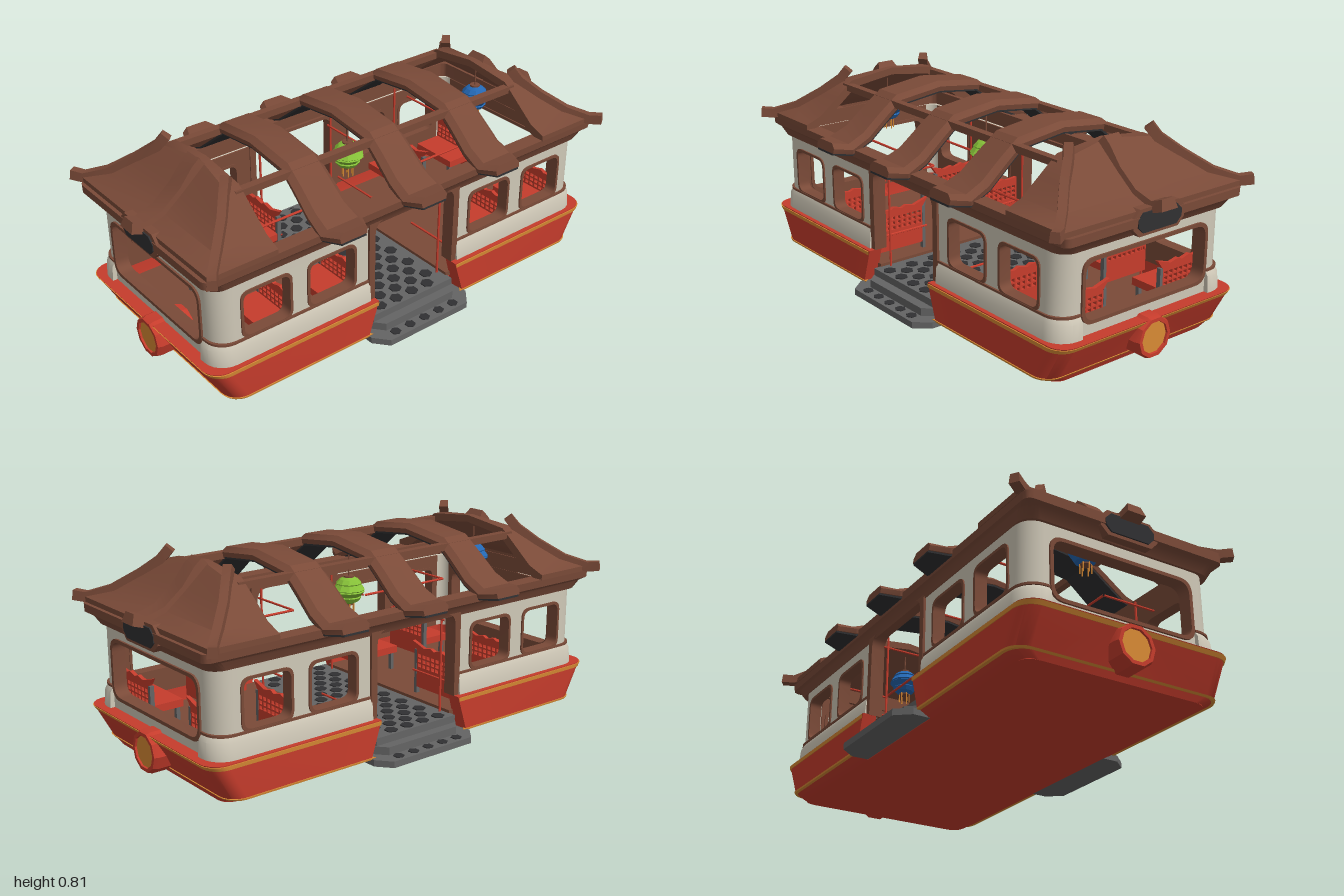
import * as THREE from 'three';
import { mergeGeometries, toCreasedNormals } from 'three/addons/utils/BufferGeometryUtils.js';

const V = (x, y, z) => new THREE.Vector3(x, y, z);
const mat = (name, color) => new THREE.MeshStandardMaterial({ name, color });

// Positions only, optionally mirrored in x and z with the winding kept outward
function part(geo, sx = 1, sz = 1) {
  const src = geo.index ? geo.toNonIndexed() : geo;
  const p = src.attributes.position.clone();
  for (let i = 0; i < p.count; i++) {
    const j = sx * sz < 0 ? i - (i % 3) + [0, 2, 1][i % 3] : i;
    const s = src.attributes.position;
    p.setXYZ(i, s.getX(j) * sx, s.getY(j), s.getZ(j) * sz);
  }
  return new THREE.BufferGeometry().setAttribute('position', p);
}
const twoX = (g) => [part(g), part(g, -1, 1)];
const twoZ = (g) => [part(g), part(g, 1, -1)];
const four = (g) => [...twoX(g), part(g, 1, -1), part(g, -1, -1)];

// Solid skin over a grid: rows run round a closed profile, columns run along the path
function skin(grid) {
  const K = grid.length, N = grid[0].length, pos = [];
  const quad = (a, b, c, d) => [a, b, c, a, c, d].forEach((v) => pos.push(v.x, v.y, v.z));
  for (let k = 0; k < K; k++) {
    const n = (k + 1) % K;
    for (let i = 0; i < N - 1; i++) quad(grid[k][i], grid[k][i + 1], grid[n][i + 1], grid[n][i]);
  }
  for (let k = 0; k < K / 2 - 1; k++) {
    const c = [k, k + 1, K - 2 - k, K - 1 - k];
    quad(...c.map((j) => grid[j][0]));
    quad(...c.reverse().map((j) => grid[j][N - 1]));
  }
  return new THREE.BufferGeometry().setAttribute('position', new THREE.Float32BufferAttribute(pos, 3));
}

// Quarter of a wall ring: rows are [y, xStart, xEnd, z, cornerRadius]
function band(rows, zEnd = 0) {
  return skin(rows.map(([y, x0, x1, z, r]) => {
    const line = [V(x0, y, z)];
    for (let i = 0; i <= 6; i++) {
      const a = (i / 6) * Math.PI / 2;
      line.push(V(x1 - r + r * Math.sin(a), y, z - r + r * Math.cos(a)));
    }
    return [...line, V(x1, y, zEnd)];
  }));
}

// Section of [side, up] points swept along a path
function sweep(path, section, scale = []) {
  const frames = path.map((p, i) => {
    const t = path[Math.min(i + 1, path.length - 1)].clone().sub(path[Math.max(i - 1, 0)]).normalize();
    const s = t.clone().cross(V(0, 1, 0)).normalize();
    return { p, s, u: s.clone().cross(t), w: scale[i] ?? 1 };
  });
  return skin(section.map(([a, b]) => frames.map(({ p, s, u, w }) =>
    p.clone().addScaledVector(s, a * w).addScaledVector(u, b))));
}

function roundRect(x0, y0, x1, y1, r, Type = THREE.Path) {
  const p = new Type();
  p.moveTo(x0 + r, y0).lineTo(x1 - r, y0).quadraticCurveTo(x1, y0, x1, y0 + r);
  p.lineTo(x1, y1 - r).quadraticCurveTo(x1, y1, x1 - r, y1).lineTo(x0 + r, y1);
  p.quadraticCurveTo(x0, y1, x0, y1 - r).lineTo(x0, y0 + r).quadraticCurveTo(x0, y0, x0 + r, y0);
  return p;
}
const poly = (pts) => new THREE.Shape(pts.map(([x, y]) => new THREE.Vector2(x, y)));
const extrude = (shape, from, to) => new THREE.ExtrudeGeometry(shape,
  { depth: to - from, bevelEnabled: false, curveSegments: 6 }).translate(0, 0, from);
const box = (w, h, d, x, y, z) => new THREE.BoxGeometry(w, h, d).translate(x, y, z);
const rod = (a, b, r) => new THREE.TubeGeometry(new THREE.LineCurve3(a, b), 1, r, 6);
const octagon = (w, y0, y1, c) => poly([[-w + c, y0], [w - c, y0], [w, y0 + c], [w, y1 - c],
  [w - c, y1], [-w + c, y1], [-w, y1 - c], [-w, y0 + c]]);

export function createModel() {
  const model = new THREE.Group();
  model.name = 'pagodaTram';
  const brown = mat('brown wood', 0x7a4a38), red = mat('red paint', 0xc63c2c), cream = mat('cream wall', 0xcfc8b7);
  const orange = mat('amber trim', 0xd88a34), grey = mat('step grey', 0x646464), black = mat('charcoal', 0x303032);
  const blue = mat('blue paper', 0x2468b4), green = mat('green paper', 0x86c038);
  const add = (name, geos, material, crease = 0.6) => {
    const m = new THREE.Mesh(toCreasedNormals(mergeGeometries(geos.map((g) => part(g))), crease), material);
    m.name = name;
    model.add(m);
  };

  // Hull with chamfered foot, trim lines and end lamps
  add('hull', four(band([[0, 0.25, 0.87, 0.39, 0.06], [0.03, 0.245, 0.885, 0.443, 0.07], [0.172, 0.2, 0.962, 0.443, 0.07],
    [0.172, 0.2, 0.88, 0.385, 0.04], [0.1, 0.22, 0.88, 0.385, 0.04], [0, 0.25, 0.85, 0.37, 0.04]])), red);
  add('hullTrim', [[0.153, 0.954, 0.168, 0.963], [0.024, 0.884, 0.031, 0.89]].flatMap(([y0, a, y1, b]) =>
    four(band([[y0, 0.235 - y0 * 0.2, a, 0.446, 0.07], [y1, 0.235 - y1 * 0.2, b, 0.447, 0.07],
      [y1, 0.25, b - 0.03, 0.42, 0.05], [y0, 0.25, a - 0.03, 0.42, 0.05]]))), orange);
  add('hullBottom', [extrude(roundRect(-0.87, -0.39, 0.87, 0.39, 0.06, THREE.Shape), 0, 0.02).rotateX(-Math.PI / 2)], red);
  const lamp = new THREE.LatheGeometry([[0.07, 0.8], [0.085, 0.84], [0.085, 0.952], [0.078, 0.97], [0.064, 0.97], [0.062, 0.958]]
    .map(([r, y]) => new THREE.Vector2(r, y)), 10).rotateZ(-Math.PI / 2).translate(0, 0.1, 0);
  add('endLampRims', twoX(lamp), red, 0.4);
  add('endLampLenses', twoX(new THREE.CircleGeometry(0.066, 10).rotateY(Math.PI / 2).translate(0.962, 0.1, 0)), orange);

  // Floors and entry steps
  add('cabinFloor', twoX(box(0.68, 0.02, 0.78, 0.54, 0.092, 0)), brown);
  add('doorFloor', [box(0.41, 0.07, 0.84, 0, 0.055, 0)], grey);
  const step = (x, z, y0, y1) => extrude(poly([[-x, -0.36], [x, -0.36], [x, -z + 0.06], [x - 0.05, -z],
    [0.05 - x, -z], [-x, 0.06 - z]].reverse().map(([a, b]) => [a, b])), y0, y1).rotateX(-Math.PI / 2);
  add('steps', [...twoZ(step(0.25, 0.52, 0.002, 0.028)), ...twoZ(step(0.225, 0.46, 0.028, 0.06))], grey);
  const hexes = [];
  for (let r = -7; r <= 7; r++)
    for (let c = -2; c <= 2; c++) {
      const x = c * 0.082 + (r % 2 ? 0.02 : -0.02);
      if (Math.abs(x) < 0.18) hexes.push(new THREE.CylinderGeometry(0.027, 0.027, 0.005, 6).translate(x, 0.0915, r * 0.055));
    }
  for (let c = -2; c <= 2; c++)
    hexes.push(...twoZ(new THREE.CylinderGeometry(0.022, 0.022, 0.005, 6).translate(c * 0.075, 0.029, 0.487)));
  add('floorHexagons', hexes, black, 0.3);

  // Walls with window openings, and their brown lining
  const wins = [[0.29, 0.512], [0.588, 0.805]];
  const side = poly([[0.21, 0.17], [0.83, 0.17], [0.83, 0.51], [0.21, 0.51]]);
  wins.forEach(([a, b]) => side.holes.push(roundRect(a + 0.005, 0.265, b - 0.005, 0.45, 0.035)));
  const end = poly([[-0.327, 0.17], [0.327, 0.17], [0.327, 0.51], [-0.327, 0.51]]);
  end.holes.push(roundRect(-0.305, 0.22, 0.305, 0.452, 0.045));
  const endwise = (shape, a, b) => extrude(shape, a, b).rotateY(Math.PI / 2);
  const post = band([[0.17, 0.83, 0.91, 0.407, 0.08], [0.51, 0.83, 0.91, 0.407, 0.08],
    [0.51, 0.83, 0.873, 0.37, 0.043], [0.17, 0.83, 0.873, 0.37, 0.043]], 0.327);
  add('walls', [...four(extrude(side, 0.372, 0.407)), ...twoX(endwise(end, 0.875, 0.91)), ...four(post)], cream);
  add('wallLining', [...four(extrude(side, 0.365, 0.372)), ...twoX(endwise(end, 0.868, 0.875))], brown);
  add('lowerWallBand', four(band([[0.17, 0.225, 0.93, 0.425, 0.085], [0.235, 0.225, 0.926, 0.42, 0.085], [0.256, 0.225, 0.912, 0.41, 0.08],
    [0.256, 0.225, 0.89, 0.39, 0.06], [0.235, 0.225, 0.89, 0.39, 0.06], [0.17, 0.225, 0.89, 0.39, 0.06]], 0.315)), cream);
  add('wallTrim', four(band([[0.254, 0.225, 0.918, 0.415, 0.08], [0.263, 0.225, 0.918, 0.415, 0.08],
    [0.263, 0.225, 0.89, 0.39, 0.06], [0.254, 0.225, 0.89, 0.39, 0.06]], 0.315)), brown);

  // Window and door frames
  const frame = (x0, y0, x1, y1, r, t) => {
    const s = roundRect(x0, y0, x1, y1, r, THREE.Shape);
    s.holes.push(roundRect(x0 + t, y0 + t, x1 - t, y1 - t, r - t * 0.5));
    return s;
  };
  add('sideWindowFrames', wins.flatMap(([a, b]) => four(extrude(frame(a - 0.004, 0.256, b + 0.004, 0.459, 0.04, 0.011), 0.362, 0.413))), brown);
  add('endWindowFrames', twoX(endwise(frame(-0.312, 0.212, 0.312, 0.46, 0.055, 0.014), 0.862, 0.918)), brown);
  const door = new THREE.Shape();
  door.moveTo(0.228, 0.17).lineTo(0.228, 0.53).lineTo(-0.228, 0.53).lineTo(-0.228, 0.17).lineTo(-0.2, 0.17).lineTo(-0.2, 0.46);
  door.quadraticCurveTo(-0.2, 0.515, -0.145, 0.515).lineTo(0.145, 0.515).quadraticCurveTo(0.2, 0.515, 0.2, 0.46).lineTo(0.2, 0.17);
  add('doorFrames', twoZ(extrude(door, 0.36, 0.417)), brown);

  // Beam ring under the roof
  add('roofBeam', four(band([[0.5, 0, 0.925, 0.412, 0.06], [0.535, 0, 0.945, 0.425, 0.05], [0.545, 0, 0.965, 0.435, 0.03],
    [0.577, 0, 0.965, 0.438, 0.03], [0.577, 0, 0.865, 0.372, 0.03], [0.56, 0, 0.865, 0.372, 0.03],
    [0.53, 0, 0.865, 0.372, 0.03], [0.515, 0, 0.865, 0.372, 0.03]])), brown);

  // Hipped roof ends with flared ribs
  const slope = [[0.95, 0.575, 0.44], [0.95, 0.597, 0.44], [0.87, 0.625, 0.37], [0.79, 0.69, 0.29], [0.72, 0.755, 0.21], [0.69, 0.78, 0]];
  const inner = slope.map(([x, y, z], i) => i ? [x - 0.02, y - 0.03, Math.max(z - 0.02, 0)] : [0.9, 0.57, 0.4]).reverse();
  add('roofEnds', four(skin([...slope, ...inner].map(([x, y, z]) => [V(0.66, y, z), V(x, y, z), V(x, y, 0)]))), brown);
  const hip = [[0.965, 0.605, 0.485], [0.935, 0.6, 0.44], [0.87, 0.63, 0.37], [0.79, 0.695, 0.29], [0.735, 0.755, 0.225], [0.708, 0.8, 0.2]];
  const hipRib = sweep(hip.map((p) => V(...p)), [[0.02, -0.025], [0.016, 0.014], [-0.016, 0.014], [-0.02, -0.025]]);
  add('hipRibs', four(hipRib), brown);
  const mid = [[1, 0.625], [0.95, 0.608], [0.87, 0.632], [0.79, 0.697], [0.735, 0.765], [0.705, 0.79]];
  const midRib = sweep(mid.map(([x, y]) => V(x, y, 0)), [[0.05, -0.03], [0.036, 0.012], [-0.036, 0.012], [-0.05, -0.03]], [0.8, 0.9, 0.95, 1, 1, 1]);
  add('endCentreRibs', twoX(midRib), brown);

  // Curved rafters with dark undersides, joined by long rails
  const arch = [[0.515, 0.597], [0.45, 0.588], [0.37, 0.622], [0.285, 0.69], [0.205, 0.75], [0, 0.775]];
  const path = [...arch, ...arch.slice(0, 5).map(([z, y]) => [-z, y]).reverse()];
  const flare = [0.7, 1.08, 1, 0.95, 0.92, 0.92, 0.92, 0.95, 1, 1.08, 0.7];
  const rafter = (x, section) => sweep(path.map(([z, y]) => V(x, y, z)), section, flare);
  const bays = [-0.385, 0, 0.385];
  add('rafters', bays.map((x) => rafter(x, [[0.085, -0.028], [0.09, -0.008], [0.065, 0.012], [-0.065, 0.012], [-0.09, -0.008], [-0.085, -0.028]])), brown, 0.4);
  add('rafterUndersides', bays.map((x) => rafter(x, [[0.08, -0.036], [0.08, -0.0275], [-0.08, -0.0275], [-0.08, -0.036]])), black, 0.4);
  add('roofRails', twoZ(box(1.38, 0.028, 0.032, 0, 0.728, 0.22)), brown);

  // Blank end signs
  add('signFrames', twoX(endwise(octagon(0.125, 0.505, 0.605, 0.03), 0.87, 0.962)), brown);
  add('signPanels', twoX(endwise(octagon(0.106, 0.518, 0.592, 0.024), 0.962, 0.968)), black);

  // Benches with lattice backs
  const lattice = poly([[0.15, 0.13], [0.365, 0.13], [0.365, 0.285], [0.15, 0.285]]);
  for (let r = 0; r < 3; r++)
    for (let c = 0; c < 8; c++) {
      const x = 0.157 + c * 0.026, y = 0.218 + r * 0.021;
      lattice.holes.push(poly([[x, y], [x + 0.018, y], [x + 0.018, y + 0.014], [x, y + 0.014]]));
    }
  const crest = poly([[0.15, 0.285], [0.365, 0.285], [0.365, 0.31], [0.31, 0.305], [0.29, 0.314], [0.25, 0.303],
    [0.23, 0.312], [0.19, 0.303], [0.122, 0.324], [0.14, 0.3]]);
  const backs = [-0.55, -0.25, 0.55, 0.845];
  add('benchBacks', backs.flatMap((x) => [lattice, crest].flatMap((s) => twoZ(extrude(s, x - 0.008, x + 0.008)
    .translate(0, 0, -x).rotateY(-Math.PI / 2).translate(x, 0, 0)))), red);
  add('benchSeats', backs.flatMap((x) => twoZ(box(0.13, 0.03, 0.225, x - 0.07, 0.195, 0.25))), red);
  add('benchPosts', backs.flatMap((x) => [...twoZ(box(0.018, 0.19, 0.014, x, 0.195, 0.143)),
    ...twoZ(box(0.016, 0.09, 0.016, x - 0.12, 0.14, 0.16))]), grey);

  // Grab poles and overhead rails
  add('grabPoles', [rod(V(0.187, 0.09, 0.35), V(0.187, 0.52, 0.35), 0.005), rod(V(0.55, 0.1, 0.35), V(0.55, 0.55, 0.35), 0.005),
    rod(V(0.187, 0.475, 0.125), V(0.64, 0.475, 0.125), 0.005), rod(V(0.187, 0.475, 0.125), V(0.187, 0.475, 0.37), 0.005),
    rod(V(0.64, 0.475, 0.125), V(0.64, 0.475, 0.37), 0.005), rod(V(0.24, 0.2, 0.13), V(0.24, 0.2, 0.37), 0.005)].flatMap(four), red);

  // Hanging paper lanterns with tassels
  const lantern = (name, x, y, paper) => {
    const pts = [[0.02, -0.055], [0.04, -0.045], [0.052, -0.028], [0.048, -0.024], [0.066, -0.004], [0.061, 0],
      [0.066, 0.004], [0.05, 0.026], [0.053, 0.03], [0.038, 0.046], [0.02, 0.055]];
    add(name, [new THREE.LatheGeometry(pts.map(([r, h]) => new THREE.Vector2(r, h)), 10).translate(x, y, 0)], paper, 0.3);
    add(name + 'Caps', [-0.055, 0.055].map((h) => new THREE.CylinderGeometry(0.022, 0.022, 0.01, 10).translate(x, y + h, 0))
      .concat([rod(V(x, y + 0.055, 0), V(x, 0.755, 0), 0.003)]), brown);
    const tassels = [];
    for (let i = 0; i < 6; i++) {
      const a = i * Math.PI / 3, dx = x + 0.022 * Math.cos(a), dz = 0.022 * Math.sin(a);
      tassels.push(rod(V(dx, y - 0.095, dz), V(dx, y - 0.05, dz), 0.003));
    }
    add(name + 'Tassels', tassels, orange);
  };
  lantern('greenLantern', 0, 0.555, green);
  lantern('blueLanternRight', -0.7, 0.595, blue);
  lantern('blueLanternLeft', 0.7, 0.595, blue);

  return model;
}
